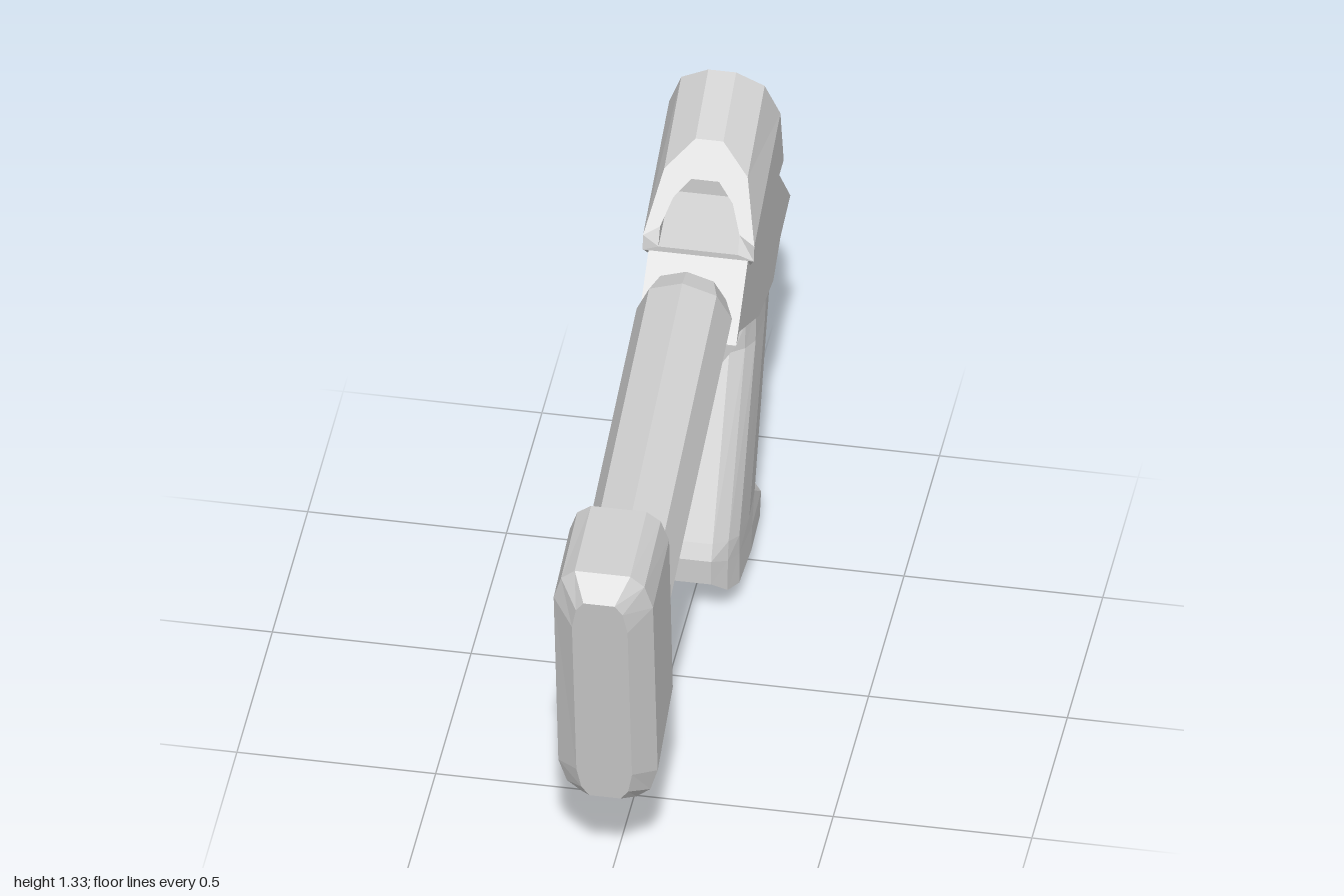
import * as THREE from 'three';

const mat = new THREE.MeshStandardMaterial({ color: 0xcccccc, flatShading: true, side: THREE.DoubleSide });

// Skin a list of equal-sized closed rings of [x, y, z], cap both ends, face outwards
function loft(rings) {
  const n = rings[0].length, tris = [];
  for (let r = 0; r < rings.length - 1; r++) {
    for (let i = 0; i < n; i++) {
      const j = (i + 1) % n, a = rings[r], b = rings[r + 1];
      tris.push([a[i], a[j], b[j]], [a[i], b[j], b[i]]);
    }
  }
  const cap = (ring, flip) => {
    const c = [0, 1, 2].map(k => ring.reduce((s, p) => s + p[k], 0) / n);
    ring.forEach((p, i) => {
      const q = ring[(i + 1) % n];
      tris.push(flip ? [c, q, p] : [c, p, q]);
    });
  };
  cap(rings[0], true);
  cap(rings[rings.length - 1], false);
  const V = p => new THREE.Vector3(...p);
  const volume = tris.reduce((s, [a, b, c]) => s + V(a).dot(V(b).cross(V(c))), 0);
  const pos = tris.flatMap(([a, b, c]) => (volume < 0 ? [a, c, b] : [a, b, c])).flat();
  const g = new THREE.BufferGeometry();
  g.setAttribute('position', new THREE.Float32BufferAttribute(pos, 3));
  g.computeVertexNormals();
  return g;
}

// Complete a half ring (x > 0) with its mirror image
const mirror = half => [...half, ...half.map(([x, y, z]) => [-x, y, z]).reverse()];

// Extrude a side profile of [z, y] points evenly about x = 0
function sidePlate(points, width, hole) {
  const shape = new THREE.Shape(points.map(p => new THREE.Vector2(...p)));
  if (hole) shape.holes.push(hole);
  return new THREE.ExtrudeGeometry(shape, { depth: width, bevelEnabled: false, curveSegments: 2 })
    .translate(0, 0, -width / 2).rotateY(-Math.PI / 2);
}

// Underside chamfer: stations of [z, upper y, lower y], wide above and narrow below
const keel = stations => loft(stations.map(([z, top, low]) =>
  mirror([[0.125, top, z], [0.075, low, z]])));

export function createModel() {
  const group = new THREE.Group();
  const add = (name, geometry, parent = group) => {
    const m = new THREE.Mesh(geometry, mat);
    m.name = name;
    parent.add(m);
    return m;
  };

  // Shoulder pad: rounded slab with a bevelled outer face
  const padHalf = [[0.07, 0], [0.105, 0.04], [0.125, 0.13], [0.125, 0.87], [0.105, 0.96], [0.07, 1]];
  const padRing = (top, bottom, s) => mirror(padHalf.map(([x, t]) => [
    x * s, bottom[1] + (top[1] - bottom[1]) * t, bottom[0] + (top[0] - bottom[0]) * t]));
  add('shoulderPad', loft([
    padRing([0.72, 1.06], [0.65, 0.39], 1),
    padRing([0.95, 1.03], [0.86, 0.28], 1),
    padRing([1.0, 0.97], [0.915, 0.31], 0.56),
  ]));

  // Octagonal tube with a bevelled inner end
  const axis = [[0.76, 0.73, 0.12], [-0.205, 0.975, 0.12], [-0.26, 0.99, 0.095]];
  const tilt = Math.atan(0.254);
  add('stockTube', loft(axis.map(([z, y, r]) => Array.from({ length: 8 }, (_, i) => {
    const a = i * Math.PI / 4, up = r * Math.cos(a);
    return [r * Math.sin(a), y + up * Math.cos(tilt), z + up * Math.sin(tilt)];
  }))));

  // Web under the tube with a strap hole
  const hole = new THREE.Path();
  hole.setFromPoints(Array.from({ length: 6 }, (_, i) => new THREE.Vector2(
    0.627 + 0.032 * Math.cos(i * Math.PI / 3), 0.59 + 0.032 * Math.sin(i * Math.PI / 3))));
  add('tubeWeb', sidePlate([[0.66, 0.40], [0.645, 0.40], [0.55, 0.59], [0.38, 0.70], [0.4, 0.78], [0.7, 0.7]], 0.07, hole));

  // Hand grip: rings of [front z, front y, back z, back y, dip of the front corner]
  const gripHalf = [[0, 0.065], [0.07, 0.1], [0.17, 0.12], [0.45, 0.125], [0.85, 0.11], [1, 0.07]];
  const gripRings = [
    [-0.22, 0.13, -0.73, 0.005, 0.03],
    [-0.22, 0.20, -0.75, 0.07, 0.01],
    [-0.24, 0.24, -0.64, 0.145, 0],
    [-0.475, 0.66, -0.85, 0.65, 0],
    [-0.48, 0.76, -0.87, 0.74, 0],
  ];
  add('handGrip', loft(gripRings.map(([zf, yf, zb, yb, dip]) => mirror(gripHalf.map(([t, x], i) => [
    x, yf + (yb - yf) * t - (i === 1 || i === 2 ? dip : 0), zf + (zb - zf) * t])))));

  // Lower frame above the grip, with chamfered front lip and rear tang
  const frame = new THREE.Group();
  frame.name = 'frame';
  group.add(frame);
  add('frameBody', sidePlate([[-0.40, 1.01], [-0.27, 0.9], [-0.235, 0.87], [-0.28, 0.88], [-0.56, 0.72],
    [-0.76, 0.68], [-0.86, 0.74], [-1.0, 0.765], [-0.84, 0.95], [-0.82, 1.01]], 0.25), frame);
  add('frontLip', keel([[-0.232, 0.87, 0.79], [-0.34, 0.845, 0.82], [-0.46, 0.78, 0.74], [-0.56, 0.72, 0.715]]), frame);
  add('rearTang', keel([[-0.76, 0.68, 0.62], [-0.86, 0.74, 0.66], [-0.97, 0.76, 0.715], [-1.0, 0.766, 0.76]]), frame);

  // Shoulder where the housing overhangs the frame
  const ledge = (x, y, zf, zb) => mirror([[x, y, zf], [x, y, zb]]);
  add('housingLedge', loft([ledge(0.126, 0.975, -0.43, -0.832), ledge(0.14, 1.012, -0.40, -0.822)]));

  // Vaulted housing, its sloped front hollowed out by an arched pocket
  const backPlane = y => -0.74 - (1.33 - y) * 0.257;
  const frontPlane = y => -0.40 - Math.max(0, y - 1.04) * 0.76;
  const ring = (half, z) => mirror(half.map(([x, y]) => [x, y, z(y)]));
  const rim = [[0.1, 1.025], [0.1, 1.07], [0.075, 1.13], [0.035, 1.17]];
  const rimRing = ring(rim, frontPlane);
  add('housing', loft([
    ring([[0.14, 1.01], [0.14, 1.19], [0.105, 1.29], [0.035, 1.33]], backPlane),
    ring([[0.14, 1.01], [0.14, 1.05], [0.105, 1.185], [0.035, 1.25]], frontPlane),
    rimRing,
    rimRing.map(([x, y, z]) => [x, Math.max(y, 1.08), Math.min(z, -0.5) - 0.06]),
  ]));

  return group;
}
